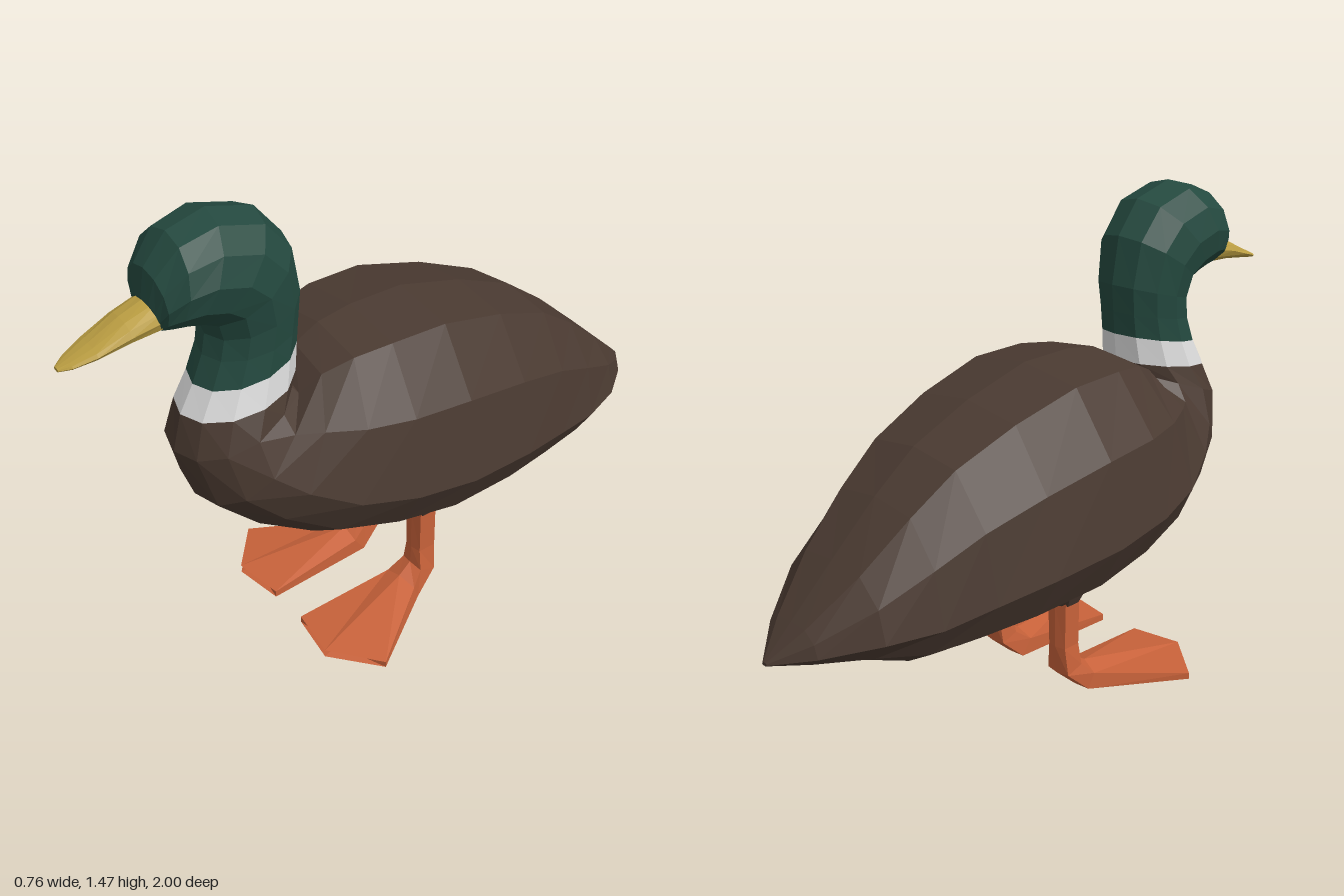
import * as THREE from 'three';

// Faceted skin through a list of rings (arrays of [x, y, z]); optional end caps
function loft(rings, capStart = false, capEnd = false) {
  const pos = [];
  const tri = (a, b, c) => pos.push(...a, ...b, ...c);
  const n = rings[0].length;
  for (let i = 0; i < rings.length - 1; i++) {
    for (let j = 0; j < n; j++) {
      const k = (j + 1) % n;
      const a = rings[i][j], b = rings[i][k], c = rings[i + 1][k], d = rings[i + 1][j];
      tri(a, d, c);
      tri(a, c, b);
    }
  }
  const cap = (ring, flip) => {
    const mid = [0, 1, 2].map(q => ring.reduce((s, p) => s + p[q], 0) / n);
    ring.forEach((p, j) => {
      const r = ring[(j + 1) % n];
      flip ? tri(mid, r, p) : tri(mid, p, r);
    });
  };
  if (capStart) cap(rings[0], false);
  if (capEnd) cap(rings[rings.length - 1], true);
  const g = new THREE.BufferGeometry();
  g.setAttribute('position', new THREE.Float32BufferAttribute(pos, 3));
  g.computeVertexNormals();
  return g;
}

// Half outlines from top to bottom: [width fraction, depth fraction]
const BODY = [[0, 0], [0.54, 0.04], [0.88, 0.3], [1, 0.65], [0.78, 0.85], [0.44, 0.97], [0, 1]];
const ROUND = BODY.map((_, i) => {
  const a = i * Math.PI / 6;
  return [Math.sin(a), (1 - Math.cos(a)) / 2];
});

// Twelve-sided ring between an upper/back point and a lower/front point
function ring([z0, y0, z1, y1, w, round = 0]) {
  const half = BODY.map(([u, t], i) => {
    const x = w * THREE.MathUtils.lerp(u, ROUND[i][0], round);
    const s = THREE.MathUtils.lerp(t, ROUND[i][1], round);
    return [x, y0 + (y1 - y0) * s, z0 + (z1 - z0) * s];
  });
  const other = half.slice(1, -1).reverse().map(([x, y, z]) => [-x, y, z]);
  return [...half, ...other];
}

export function createModel() {
  const group = new THREE.Group();
  const mat = (name, color) => {
    const m = new THREE.MeshStandardMaterial({ color });
    m.name = name;
    return m;
  };
  const brown = mat('brownFeathers', 0x4a3a31);
  const white = mat('whiteCollar', 0xdcdcdc);
  const green = mat('greenFeathers', 0x24493f);
  const yellow = mat('yellowBill', 0xbb9e42);
  const orange = mat('orangeLegs', 0xc8623a);
  const add = (name, geometry, material, parent = group) => {
    const mesh = new THREE.Mesh(geometry, material);
    mesh.name = name;
    parent.add(mesh);
    return mesh;
  };

  // Body: tail tip to breast, the rings fanning upward towards the neck
  const collarLow = [0.335, 0.945, 0.68, 0.89, 0.152, 1];
  const collarHigh = [0.325, 1.03, 0.635, 0.97, 0.138, 1];
  add('body', loft([
    [-1, 0.425, -1, 0.415, 0.01],
    [-0.91, 0.51, -0.91, 0.4, 0.11],
    [-0.77, 0.64, -0.77, 0.37, 0.215],
    [-0.62, 0.775, -0.62, 0.31, 0.272],
    [-0.48, 0.88, -0.45, 0.295, 0.312],
    [-0.28, 0.965, -0.28, 0.292, 0.354],
    [-0.06, 1.025, -0.04, 0.302, 0.382],
    [0.12, 1.027, 0.17, 0.345, 0.372],
    [0.23, 1.01, 0.37, 0.4, 0.33],
    [0.31, 0.97, 0.54, 0.5, 0.272, 0.2],
    [0.36, 0.91, 0.66, 0.61, 0.22, 0.5],
    [0.36, 0.91, 0.71, 0.78, 0.178, 0.8],
    collarLow,
  ].map(ring), true), brown);

  // Neck ring
  add('collar', loft([collarLow, collarHigh].map(ring)), white);

  // Neck and head, fanning forward to the bill
  add('neckAndHead', loft([
    collarHigh,
    [0.318, 1.1, 0.6, 1.05, 0.134, 1],
    [0.31, 1.185, 0.587, 1.11, 0.138, 1],
    [0.335, 1.33, 0.6, 1.155, 0.15, 1],
    [0.415, 1.43, 0.64, 1.172, 0.157, 1],
    [0.555, 1.47, 0.68, 1.183, 0.155, 1],
    [0.67, 1.44, 0.71, 1.187, 0.14, 1],
    [0.74, 1.36, 0.73, 1.188, 0.105, 1],
    [0.755, 1.28, 0.735, 1.19, 0.07, 1],
  ].map(ring), false, true), green);

  // Bill
  add('bill', loft([
    [0.72, 1.285, 0.72, 1.185, 0.071, 1],
    [0.82, 1.25, 0.82, 1.182, 0.064, 1],
    [0.91, 1.207, 0.91, 1.172, 0.054, 1],
    [0.97, 1.182, 0.97, 1.163, 0.034, 1],
    [1, 1.17, 1, 1.16, 0.012, 1],
  ].map(ring), true, true), yellow);

  // Legs with webbed feet: front inner, middle, outer, then back outer, middle, inner
  const shank = (y, x0, x1) => {
    const xm = (x0 + x1) / 2;
    return [[x0, y, -0.008], [xm, y, 0], [x1, y, -0.008],
      [x1, y, -0.066], [xm, y, -0.074], [x0, y, -0.066]];
  };
  const legRings = [
    shank(0.42, 0.105, 0.18),
    shank(0.3, 0.105, 0.178),
    shank(0.16, 0.11, 0.176),
    [[0.1, 0.09, -0.004], [0.143, 0.1, 0.004], [0.187, 0.09, -0.004],
      [0.185, 0.07, -0.06], [0.143, 0.068, -0.066], [0.1, 0.07, -0.06]],
    [[0.088, 0.05, 0.05], [0.148, 0.07, 0.05], [0.205, 0.05, 0.035],
      [0.2, 0, 0.015], [0.145, 0, 0.01], [0.088, 0, 0.015]],
    [[0.07, 0.022, 0.375], [0.235, 0.026, 0.4], [0.38, 0.02, 0.28],
      [0.38, 0, 0.28], [0.235, 0, 0.4], [0.07, 0, 0.375]],
  ];
  for (const [name, side] of [['left', 1], ['right', -1]]) {
    const rings = legRings.map(r => {
      const m = r.map(([x, y, z]) => [x * side, y, z]);
      return side < 0 ? m.reverse() : m;
    });
    add(name + 'Leg', loft(rings, true, true), orange);
    // Feathered cuff at the top of the leg
    const cuff = new THREE.CylinderGeometry(0.075, 0.045, 0.06, 6).toNonIndexed();
    cuff.computeVertexNormals();
    add(name + 'Cuff', cuff, brown).position.set(0.142 * side, 0.333, -0.037);
  }
  return group;
}
